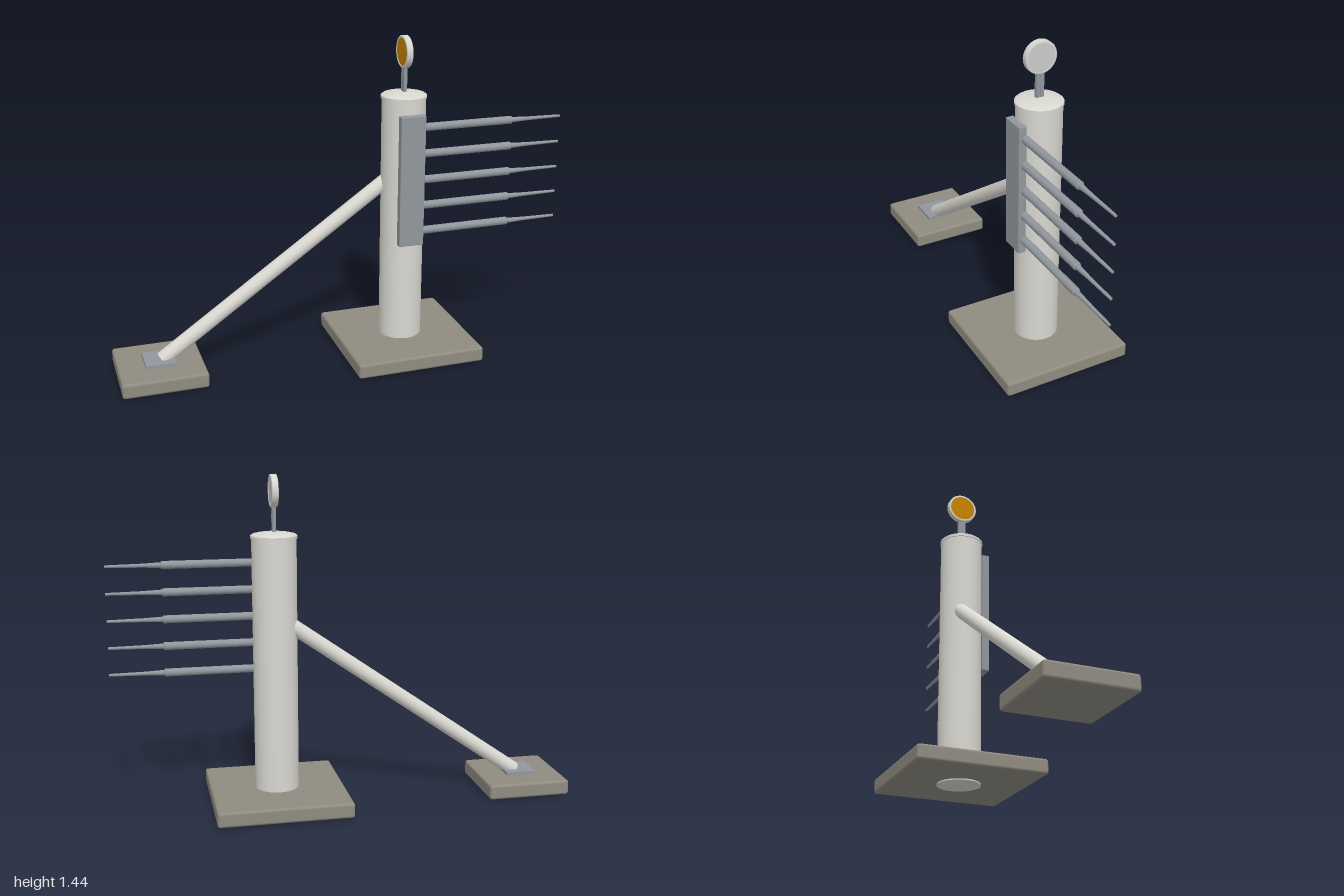
import * as THREE from 'three';
import { RoundedBoxGeometry } from 'three/addons/geometries/RoundedBoxGeometry.js';

const mat = (color) => new THREE.MeshStandardMaterial({ color });

export function createModel() {
  const group = new THREE.Group();
  const concrete = mat(0x8f8b80), paint = mat(0xd8d7d0), steel = mat(0x90979c);
  const amber = mat(0xc98200), glass = mat(0xcccccc);

  const add = (name, geometry, material, x, y, z, parent = group) => {
    const mesh = new THREE.Mesh(geometry, material);
    mesh.name = name;
    mesh.position.set(x, y, z);
    parent.add(mesh);
    return mesh;
  };
  const slab = (name, w, h, d, r, material, x, y, z) =>
    add(name, new RoundedBoxGeometry(w, h, d, 2, r), material, x, y, z);
  const lathe = (points, segments) =>
    new THREE.LatheGeometry(points.map(([r, y]) => new THREE.Vector2(r, y)), segments);

  const postX = 0.293;

  // Footings and the brace's anchor plate
  slab('postFooting', 0.585, 0.067, 0.585, 0.012, concrete, postX, 0.0385, 0);
  slab('braceFooting', 0.37, 0.067, 0.37, 0.012, concrete, -0.815, 0.0385, -0.026);
  add('anchorPlate', new THREE.BoxGeometry(0.135, 0.016, 0.138), steel, -0.815, 0.078, -0.026);

  // Main post with a shallow domed cap
  add('post', new THREE.CylinderGeometry(0.096, 0.096, 1.18, 48), paint, postX, 0.59, 0);
  add('postCap', lathe([
    [0, 0], [0.1, 0], [0.1, 0], [0.1, 0.012], [0.1, 0.012],
    [0.092, 0.018], [0.07, 0.023], [0.04, 0.027], [0, 0.029],
  ], 48), paint, postX, 1.172, 0);

  // Diagonal brace
  const foot = new THREE.Vector3(-0.802, 0.078, -0.026);
  const head = new THREE.Vector3(0.26, 0.822, -0.026);
  const along = head.clone().sub(foot);
  const middle = foot.clone().add(head).multiplyScalar(0.5);
  const brace = add('brace', new THREE.CylinderGeometry(0.033, 0.033, along.length(), 32),
    paint, middle.x, middle.y, middle.z);
  brace.quaternion.setFromUnitVectors(new THREE.Vector3(0, 1, 0), along.normalize());

  // Mounting bar for the arms
  slab('mountingBar', 0.113, 0.585, 0.035, 0.004, steel, 0.295, 0.8225, 0.104);

  // Five stepped arms reaching towards +x
  const armGeometry = lathe([
    [0, 0], [0.0175, 0], [0.0175, 0], [0.0175, 0.462], [0.0175, 0.462],
    [0.012, 0.466], [0.012, 0.466], [0.0085, 0.545], [0.0085, 0.545],
    [0.006, 0.7], [0.006, 0.7], [0, 0.7],
  ], 16);
  for (let i = 0; i < 5; i++) {
    const arm = add('arm', armGeometry, steel, 0.3, 0.588 + i * 0.1175, 0.093);
    arm.rotation.z = -Math.PI / 2;
  }

  // Round marker on a twin-rod stem
  const marker = new THREE.Group();
  marker.name = 'marker';
  marker.position.set(postX, 1.371, 0);
  group.add(marker);
  for (const side of [-1, 1]) {
    add('markerStem', new THREE.BoxGeometry(0.015, 0.125, 0.0165), steel,
      0, -0.124, side * 0.009, marker);
  }
  const rim = add('markerRim', lathe([
    [0.06, -0.011], [0.06, -0.014], [0.06, -0.014], [0.067, -0.014], [0.07, -0.011],
    [0.07, 0.011], [0.067, 0.014], [0.06, 0.014], [0.06, 0.014], [0.06, 0.011],
  ], 40), paint, 0, 0, 0, marker);
  rim.rotation.z = -Math.PI / 2;

  // Lens discs, amber on the right and grey on the left
  for (const side of [-1, 1]) {
    const lens = add(side < 0 ? 'amberLens' : 'greyLens',
      new THREE.CylinderGeometry(0.061, 0.061, 0.012, 40), side < 0 ? amber : glass,
      side * 0.006, 0, 0, marker);
    lens.rotation.z = -Math.PI / 2;
  }
  return group;
}
